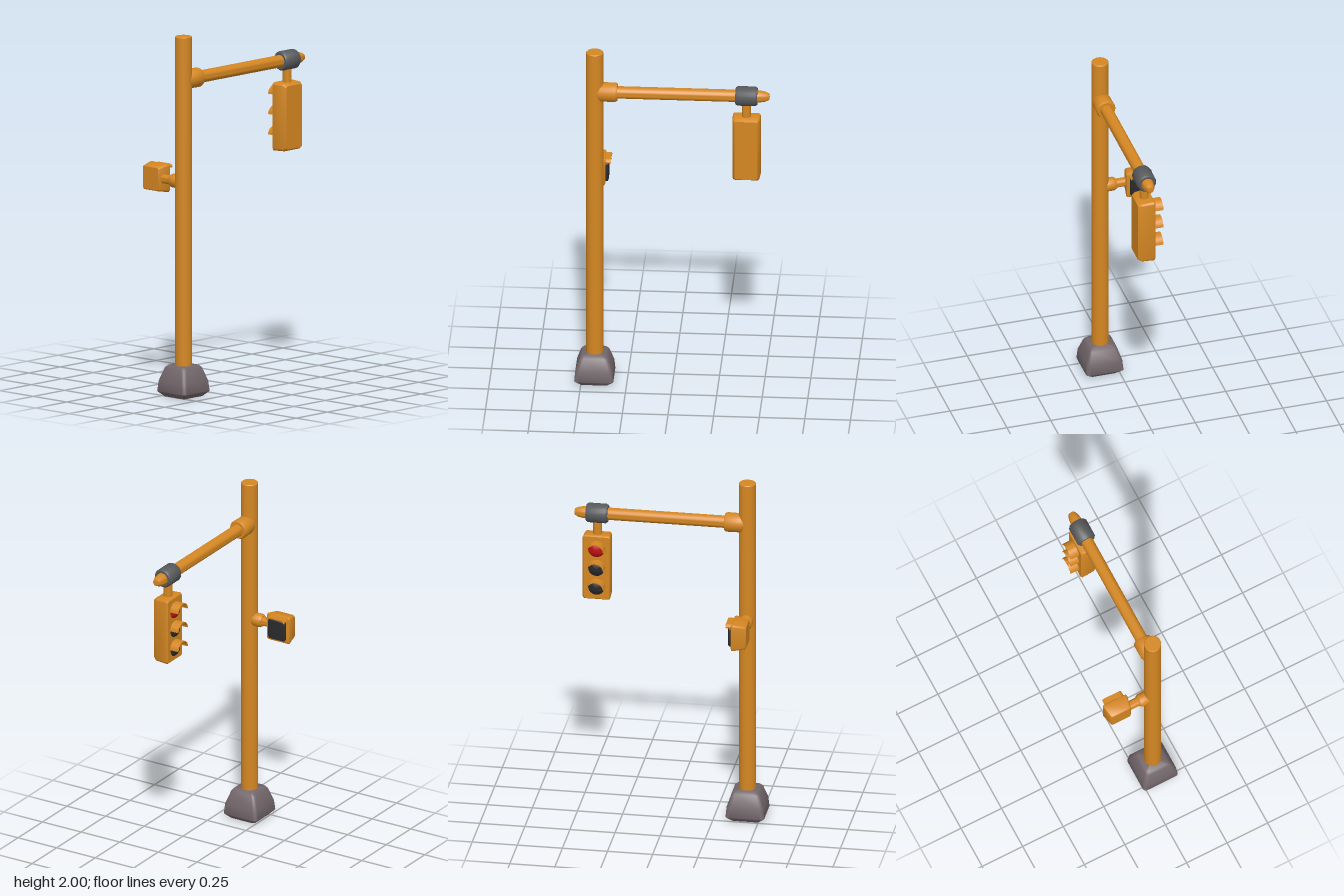
import * as THREE from 'three';
import { toCreasedNormals } from 'three/addons/utils/BufferGeometryUtils.js';

const mat = (color, side = THREE.FrontSide) =>
  new THREE.MeshStandardMaterial({ color, side, roughness: 0.8 });
const orange = mat(0xd58722);
const stone = mat(0x72666a);
const steel = mat(0x58595b);
const black = mat(0x2a2a2c);
const red = mat(0xc01015);

const POLE_X = -0.428, POLE_Z = 0.089, ARM_Y = 1.757;
const HEAD_X = 0.403, PED_Y = 1.188;

// Turned solid along +y from [radius, height] pairs
function turned(points, segments = 24) {
  const pts = points.map(([r, y]) => new THREE.Vector2(r, y));
  return toCreasedNormals(new THREE.LatheGeometry(pts, segments), 0.7);
}

// Solid along +z from rounded-rectangle sections [z, halfWidth, halfHeight, cornerRadius]
function loft(sections, crease = 0.7) {
  const steps = 4, n = steps * 4, pos = [], index = [];
  const first = sections[0], last = sections[sections.length - 1];
  const rings = [[first[0], 0, 0, 0], ...sections, [last[0], 0, 0, 0]];
  for (const [z, w, h, r] of rings) {
    for (let q = 0; q < 4; q++) {
      const sx = q === 0 || q === 3 ? 1 : -1, sy = q < 2 ? 1 : -1;
      for (let k = 0; k < steps; k++) {
        const a = (q + k / (steps - 1)) * Math.PI / 2;
        pos.push(sx * (w - r) + r * Math.cos(a), sy * (h - r) + r * Math.sin(a), z);
      }
    }
  }
  for (let i = 0; i < rings.length - 1; i++) {
    for (let j = 0; j < n; j++) {
      const a = i * n + j, b = i * n + (j + 1) % n;
      if (i > 0) index.push(a, b, a + n);
      if (i === 0 || i < rings.length - 2) index.push(b, b + n, a + n);
      else index.pop(), index.pop(), index.pop(), index.push(a, b, a + n);
    }
  }
  const g = new THREE.BufferGeometry();
  g.setAttribute('position', new THREE.Float32BufferAttribute(pos, 3));
  g.setIndex(index);
  g.computeVertexNormals();
  return toCreasedNormals(g, crease);
}

export function createModel() {
  const model = new THREE.Group();
  const add = (parent, name, geometry, material, x = 0, y = 0, z = 0) => {
    const mesh = new THREE.Mesh(geometry, material);
    mesh.name = name;
    mesh.position.set(x, y, z);
    parent.add(mesh);
    return mesh;
  };

  // Footing and pole
  const footing = loft([
    [0, 0.078, 0.078, 0.015], [0.028, 0.107, 0.107, 0.018], [0.085, 0.102, 0.102, 0.02],
    [0.158, 0.078, 0.078, 0.02], [0.172, 0.066, 0.066, 0.02],
  ], 0.9).rotateX(-Math.PI / 2);
  add(model, 'footing', footing, stone, POLE_X, 0, POLE_Z);
  add(model, 'pole', turned([[0, 0.1], [0.047, 0.1], [0.047, 1.996], [0.043, 2], [0, 2]]),
    orange, POLE_X, 0, POLE_Z);

  // Horizontal arm with its socket, tapered tip and clamp
  const alongX = (points) => turned(points).rotateZ(-Math.PI / 2);
  add(model, 'arm', alongX([
    [0, -0.4], [0.034, -0.4], [0.034, 0.47], [0.029, 0.504], [0.018, 0.528], [0, 0.531],
  ]), orange, 0, ARM_Y, POLE_Z);
  add(model, 'armSocket', alongX([
    [0, -0.42], [0.042, -0.42], [0.053, -0.395], [0.054, -0.315], [0.048, -0.304], [0, -0.304],
  ]), orange, 0, ARM_Y, POLE_Z);
  add(model, 'armClamp', alongX([
    [0, 0.344], [0.046, 0.344], [0.054, 0.355], [0.054, 0.453], [0.046, 0.464], [0, 0.464],
  ]), steel, 0, ARM_Y, POLE_Z);

  // Hanging traffic signal, its lamps looking towards -z
  const signal = new THREE.Group();
  signal.name = 'trafficSignal';
  signal.position.set(HEAD_X, 0, POLE_Z);
  model.add(signal);
  add(signal, 'hanger', turned([[0, 1.62], [0.025, 1.62], [0.025, 1.73], [0, 1.73]], 16), orange);
  const housing = loft([
    [-0.053, 0.062, 0.176, 0.012], [-0.034, 0.074, 0.187, 0.014],
    [0.036, 0.077, 0.19, 0.014], [0.044, 0.071, 0.184, 0.012],
  ]).rotateY(Math.PI);
  add(signal, 'signalHousing', housing, orange, 0, 1.447, 0);

  const hoodShape = new THREE.Shape();
  hoodShape.absarc(0, 0, 0.051, 0.12, Math.PI - 0.12, false);
  hoodShape.absarc(0, 0, 0.045, Math.PI - 0.12, 0.12, true);
  const hood = toCreasedNormals(new THREE.ExtrudeGeometry(hoodShape,
    { depth: 0.058, bevelEnabled: false, curveSegments: 16 }), 0.6);
  const lens = turned([
    [0, -0.01], [0.045, -0.01], [0.045, 0.002], [0.036, 0.012], [0.02, 0.019], [0, 0.022],
  ]).rotateX(-Math.PI / 2);
  [1.557, 1.444, 1.331].forEach((y, i) => {
    add(signal, 'lampLens', lens, i === 0 ? red : black, 0, y, -0.043);
    add(signal, 'lampHood', hood, orange, 0, y, -0.096);
  });

  // Crossing signal on a bracket behind the pole, its screen looking towards +x
  const crossing = new THREE.Group();
  crossing.name = 'crossingSignal';
  crossing.position.set(POLE_X, PED_Y, 0);
  model.add(crossing);
  const alongBack = (points) => turned(points, 20).rotateX(-Math.PI / 2);
  add(crossing, 'bracketSocket', alongBack([
    [0, -0.075], [0.03, -0.075], [0.038, -0.055], [0.038, -0.012], [0.03, 0.001], [0, 0.003],
  ]), orange);
  add(crossing, 'bracketTube', alongBack([[0, -0.01], [0.025, -0.01], [0.025, 0.07], [0, 0.07]]), orange);

  const box = loft([
    [-0.036, 0.058, 0.062, 0.01], [-0.03, 0.062, 0.067, 0.012],
    [0.036, 0.074, 0.079, 0.013], [0.044, 0.071, 0.076, 0.012], [0.048, 0.063, 0.068, 0.01],
  ]).rotateY(Math.PI / 2);
  add(crossing, 'crossingHousing', box, orange, 0, 0, -0.123);
  const screen = loft([
    [0.03, 0.055, 0.058, 0.014], [0.058, 0.055, 0.058, 0.014], [0.064, 0.049, 0.052, 0.012],
  ]).rotateY(Math.PI / 2);
  add(crossing, 'screen', screen, black, 0, -0.003, -0.123);

  // Screen visor: a thin roof with short sloping shoulders
  const roof = new THREE.Shape([
    [-0.058, 0.054], [-0.058, 0.062], [-0.046, 0.072], [0.046, 0.072],
    [0.058, 0.062], [0.058, 0.054], [0.043, 0.064], [-0.043, 0.064],
  ].map(([x, y]) => new THREE.Vector2(x, y)));
  const visor = new THREE.ExtrudeGeometry(roof, { depth: 0.04, bevelEnabled: false })
    .rotateY(Math.PI / 2);
  add(crossing, 'screenVisor', visor, orange, 0.038, 0, -0.123);

  return model;
}
